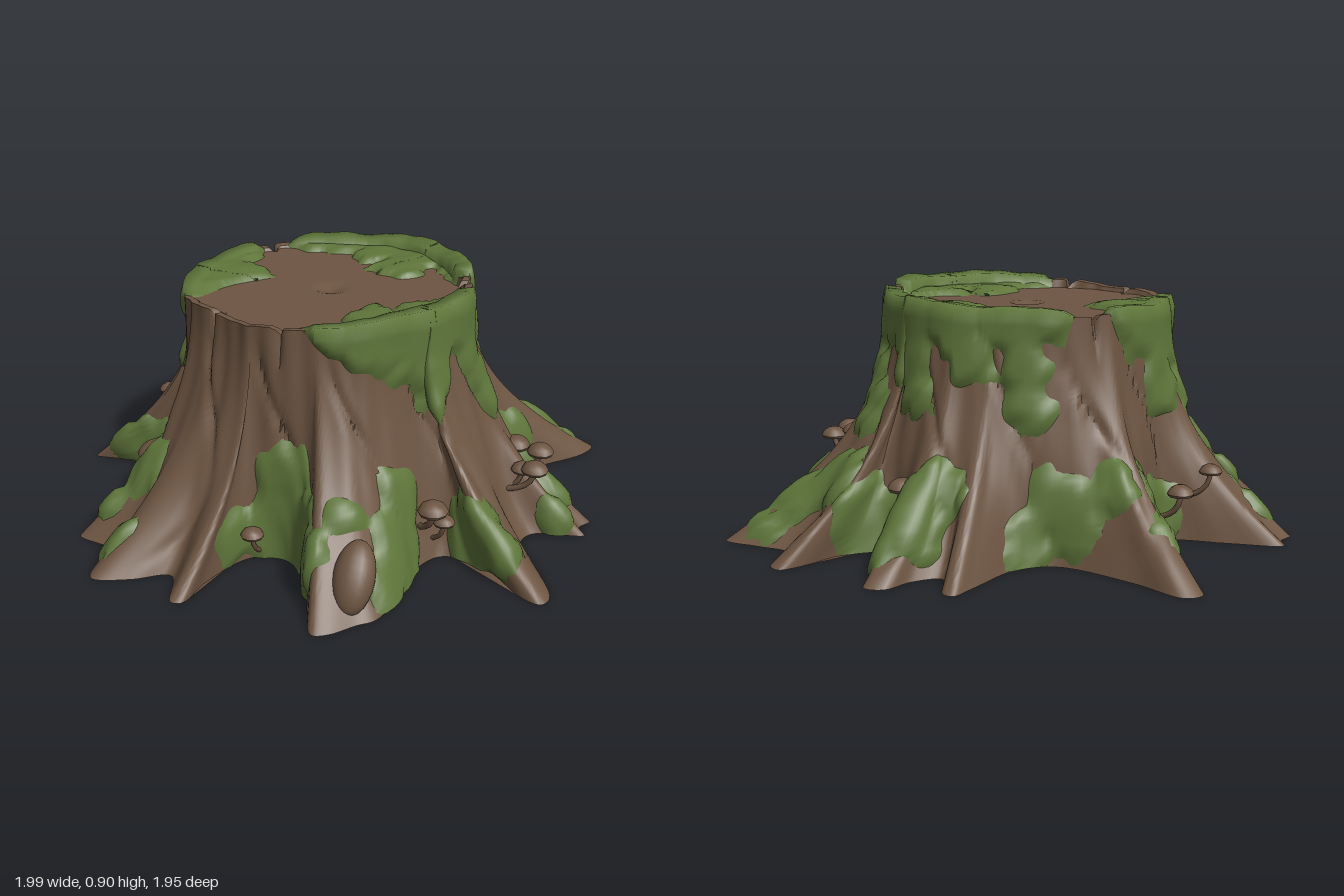
import * as THREE from 'three';
import { toCreasedNormals } from 'three/addons/utils/BufferGeometryUtils.js';

const N = 400;      // samples around the trunk
const WALL = 40;    // rows up the bark
const CUT = 22;     // rows across the sawn face

// Outline of the roots on the ground, x and z
const FOOT = [
  [1, -.06], [.97, 0], [1, .05], [.82, .1], [.79, .18], [.88, .33], [.96, .5], [.94, .55], [.87, .53],
  [.75, .42], [.65, .36], [.54, .37], [.48, .5], [.48, .65], [.45, .82], [.4, .87], [.33, .95], [.28, .97],
  [.22, .85], [.17, .72], [.08, .57], [0, .55], [-.1, .62], [-.17, .8], [-.19, .94], [-.23, .95], [-.3, .8],
  [-.42, .87], [-.55, .91], [-.58, .83], [-.57, .72], [-.73, .67], [-.72, .62], [-.55, .5], [-.45, .33],
  [-.5, .2], [-.65, .12], [-.85, .07], [-.99, .08], [-.97, .01], [-.99, -.05], [-.8, -.09], [-.58, -.13],
  [-.55, -.25], [-.7, -.48], [-.84, -.65], [-.79, -.7], [-.6, -.62], [-.32, -.55], [-.2, -.62], [-.13, -.85],
  [-.1, -.94], [-.06, -.93], [0, -.8], [.08, -.86], [.13, -.96], [.2, -.97], [.24, -.8], [.3, -.62],
  [.42, -.68], [.5, -.85], [.55, -.91], [.6, -.88], [.62, -.73], [.75, -.71], [.9, -.69], [.88, -.6],
  [.72, -.42], [.55, -.2], [.7, -.1], [.88, -.07],
];

// Moss clumps: x, y, z, radius
const RIM_MOSS = [
  [.16, .87, .49, .08], [.27, .86, .42, .1], [.36, .86, .36, .13], [.25, .83, .25, .1], [.44, .84, .26, .15],
  [.5, .83, .1, .13], [.36, .83, .12, .07],
  [.5, .72, -.1, .055], [.5, .8, -.3, .12], [.4, .85, -.38, .13], [.25, .85, -.46, .14], [.08, .85, -.5, .13],
  [-.1, .85, -.5, .12], [-.24, .85, -.46, .09], [.17, .83, -.3, .11], [.05, .83, -.38, .08],
  [-.5, .82, 0, .16], [-.5, .82, .15, .11], [-.5, .8, -.16, .12], [-.36, .83, -.03, .1], [-.46, .82, -.26, .07],
];
const DRIP_MOSS = [
  [.4, .7, .36, .06], [.45, .68, .27, .09], [.53, .68, .08, .08], [.54, .58, .04, .08], [.55, .48, 0, .09],
  [.47, .57, .3, .05], [.43, .62, -.38, .07], [.42, .52, -.42, .07], [.43, .42, -.44, .07],
  [.22, .68, -.48, .09], [.2, .55, -.52, .07], [0, .7, -.53, .09], [-.18, .68, -.5, .08], [-.2, .55, -.53, .07],
  [-.54, .65, -.1, .09], [-.56, .55, -.08, .08], [-.54, .65, .1, .08], [-.57, .52, .06, .07],
];
const ROOT_MOSS = [
  [.03, .3, .56, .1], [.05, .12, .58, .16], [.2, .1, .72, .1], [-.1, .12, .65, .08], [.27, .22, .66, .07],
  [.45, .28, .46, .09], [.48, .12, .56, .13], [.47, .06, .7, .09], [.65, .12, .4, .12], [.76, .08, .46, .07],
  [-.45, .46, .32, .07], [-.48, .32, .35, .07], [-.5, .2, .5, .09], [-.55, .12, .76, .09], [-.66, .12, .6, .06],
  [-.72, .15, .12, .08], [-.85, .08, .07, .06],
  [.56, .3, -.2, .12], [.57, .1, -.24, .14], [.88, .12, -.06, .08], [.9, .06, .05, .06], [.72, .25, -.1, .07],
];
const BACK_MOSS = [
  [.68, .24, -.62, .11], [.75, .1, -.7, .08], [.5, .25, -.6, .11], [.36, .1, -.63, .12], [.6, .1, -.42, .09],
  [.15, .2, -.78, .13], [.2, .08, -.8, .1], [.05, .28, -.68, .08],
  [-.35, .18, -.55, .12], [-.5, .28, -.5, .08], [-.25, .08, -.6, .09], [-.6, .25, -.34, .1], [-.7, .12, -.48, .08],
  [-.57, .12, -.2, .1],
];

// Cap centre x, y, z and cap radius
const MUSHROOMS = [
  [-.57, .2, .33, .08], [.53, .22, .44, .055], [.56, .16, .4, .04], [-.06, .12, .64, .042],
  [-.73, .26, -.1, .042], [-.65, .2, -.21, .048], [.62, .11, -.15, .045], [.71, .28, -.04, .052],
  [.8, .26, -.05, .05], [.76, .24, .07, .042], [.81, .26, .1, .05], [.21, .25, -.65, .053],
];

const NOTCHES = [1.57, 2.17, 3.9, 6.05, 5.9];

// Rows of points up the bark, over the rim and across the cut; furrow scales the bark detail
function stumpPoints(furrow) {
  const curve = new THREE.CatmullRomCurve3(FOOT.map(([x, z]) => new THREE.Vector3(x, 0, z)), true);
  const foot = curve.getPoints(N).slice(0, N);
  const radii = foot.map((p) => Math.hypot(p.x, p.z));
  const W = 8;
  const soft = radii.map((_, j) => {
    let sum = 0;
    for (let k = -W; k <= W; k++) sum += radii[(j + k + N) % N];
    return sum / (2 * W + 1);
  });
  const angles = foot.map((p) => (Math.atan2(p.z, p.x) + 2 * Math.PI) % (2 * Math.PI));
  const notch = angles.map((a) => furrow * Math.max(...NOTCHES.map((n) => Math.exp(-(((a - n) / 0.022) ** 2)))));
  const rim = angles.map((a, j) => 0.85 + 0.02 * Math.cos(a) + 0.005 * Math.sin(9 * a) - 0.035 * notch[j]);

  // Trunk radius plus root flare and bark furrows
  const wallRadius = (j, y) => {
    const a = angles[j];
    const trunk = 0.517 + 0.01 * Math.sin(5 * a + 1) + 0.005 * Math.sin(8 * a);
    const spread = THREE.MathUtils.lerp(radii[j], soft[j], THREE.MathUtils.smoothstep(y, 0.05, 0.45));
    const flare = Math.max(0, 1 - y / 0.87) ** 2.1;
    const groove = Math.max(0, Math.sin(13 * a + 2 * Math.sin(6 * y))) ** 12 * (1 - THREE.MathUtils.smoothstep(y, 0.65, 0.82));
    const bark = Math.min(1, y / 0.1) * furrow
      * (0.003 * Math.sin(23 * a + 5 * y) + 0.0025 * Math.sin(41 * a - 4 * y) - 0.014 * groove);
    return trunk + flare * (spread - trunk) + bark - 0.025 * notch[j] * THREE.MathUtils.smoothstep(y, 0.65, 0.85);
  };

  const pos = [];
  const addRow = (radius, height) => {
    for (let j = 0; j < N; j++) {
      const r = radius(j);
      pos.push(r * Math.cos(angles[j]), height(j, r), r * Math.sin(angles[j]));
    }
  };
  for (let i = 0; i <= WALL; i++) addRow((j) => wallRadius(j, rim[j] * i / WALL), (j) => rim[j] * i / WALL);
  const top = (j) => wallRadius(j, rim[j]);
  addRow((j) => top(j) - 0.028, (j) => rim[j] - 0.003);
  for (let i = 0; i <= CUT; i++) {
    addRow((j) => (top(j) - 0.036) * (1 - i / CUT), (j, r) => 0.82 - 0.02 * Math.max(0, 1 - r / 0.06));
  }
  return pos;
}

// Skin the rows, using only the cells with a vertex that passes the test
function skin(pos, keep = () => true) {
  const rows = pos.length / 3 / N;
  const index = [];
  for (let i = 0; i < rows - 1; i++) {
    for (let j = 0; j < N; j++) {
      const a = i * N + j, b = i * N + (j + 1) % N, c = a + N, d = b + N;
      if ([a, b, c, d].some(keep)) index.push(a, c, b, b, c, d);
    }
  }
  const g = new THREE.BufferGeometry();
  g.setAttribute('position', new THREE.Float32BufferAttribute(pos, 3));
  g.setIndex(index);
  g.computeVertexNormals();
  return g;
}

// Moss swells out of the bark inside each clump and sinks under it outside
function mossGeometry() {
  const smooth = skin(stumpPoints(0));
  const p = smooth.attributes.position, n = smooth.attributes.normal;
  const clumps = [...RIM_MOSS, ...DRIP_MOSS, ...ROOT_MOSS, ...BACK_MOSS];
  const pos = [], amount = [];
  for (let i = 0; i < p.count; i++) {
    const x = p.getX(i), y = p.getY(i), z = p.getZ(i);
    const inside = Math.max(...clumps.map(([cx, cy, cz, r]) => r - Math.hypot(x - cx, 0.75 * (y - cy), z - cz)));
    const ragged = 0.012 * Math.sin(31 * x + 9 * y) + 0.012 * Math.sin(37 * z - 11 * y)
      + 0.008 * Math.sin(60 * (x + z) + 30 * y) + 0.008;
    const m = inside + ragged;
    const h = THREE.MathUtils.clamp(m * 0.8, -0.02, 0.018 + 0.1 * Math.max(0, m));
    amount.push(m);
    pos.push(x + n.getX(i) * h, Math.max(0, y + n.getY(i) * h), z + n.getZ(i) * h);
  }
  return skin(pos, (i) => amount[i] > -0.004);
}

function mushroom([x, y, z, r], material) {
  const group = new THREE.Group();
  group.name = 'mushroom';
  const profile = [[0, 0.05], [0.9, -0.15], [1, 0.05], [0.8, 0.4], [0.45, 0.62], [0, 0.7]];
  const cap = new THREE.Mesh(
    toCreasedNormals(new THREE.LatheGeometry(profile.map(([a, b]) => new THREE.Vector2(a * r, b * r)), 10), 0.9), material);
  cap.name = 'mushroomCap';
  cap.position.set(x, y, z);
  // The stem bends from the bark up into the cap
  const path = new THREE.QuadraticBezierCurve3(
    new THREE.Vector3(x * 0.86, Math.max(0.02, y - 0.1), z * 0.86),
    new THREE.Vector3(x, y - 0.08, z), new THREE.Vector3(x, y + r * 0.1, z));
  const stem = new THREE.Mesh(new THREE.TubeGeometry(path, 6, r * 0.22, 7), material);
  stem.name = 'mushroomStem';
  group.add(cap, stem);
  return group;
}

export function createModel() {
  const wood = new THREE.MeshStandardMaterial({ color: 0x6d5542 });
  wood.name = 'wood';
  const moss = new THREE.MeshStandardMaterial({ color: 0x5e753a });
  moss.name = 'moss';
  const model = new THREE.Group();
  model.name = 'treeStump';
  const add = (name, geometry, material) => {
    const mesh = new THREE.Mesh(geometry, material);
    mesh.name = name;
    model.add(mesh);
    return mesh;
  };

  const pos = stumpPoints(1);
  add('trunkAndRoots', toCreasedNormals(skin(pos), 0.7), wood);
  add('mossCover', mossGeometry(), moss);

  // Flat underside
  const base = new THREE.BufferGeometry();
  base.setAttribute('position', new THREE.Float32BufferAttribute([...pos.slice(0, N * 3), 0, 0, 0], 3));
  base.setIndex(Array.from({ length: N }, (_, j) => [N, j, (j + 1) % N]).flat());
  base.computeVertexNormals();
  add('underside', base, wood);

  // Rounded knot swelling from a front root
  const knot = add('rootKnot', new THREE.SphereGeometry(0.085, 18, 12), wood);
  knot.position.set(0.36, 0.12, 0.78);
  knot.rotation.x = -0.6;
  knot.scale.set(0.85, 1.5, 0.75);

  MUSHROOMS.forEach((m) => model.add(mushroom(m, wood)));
  return model;
}
